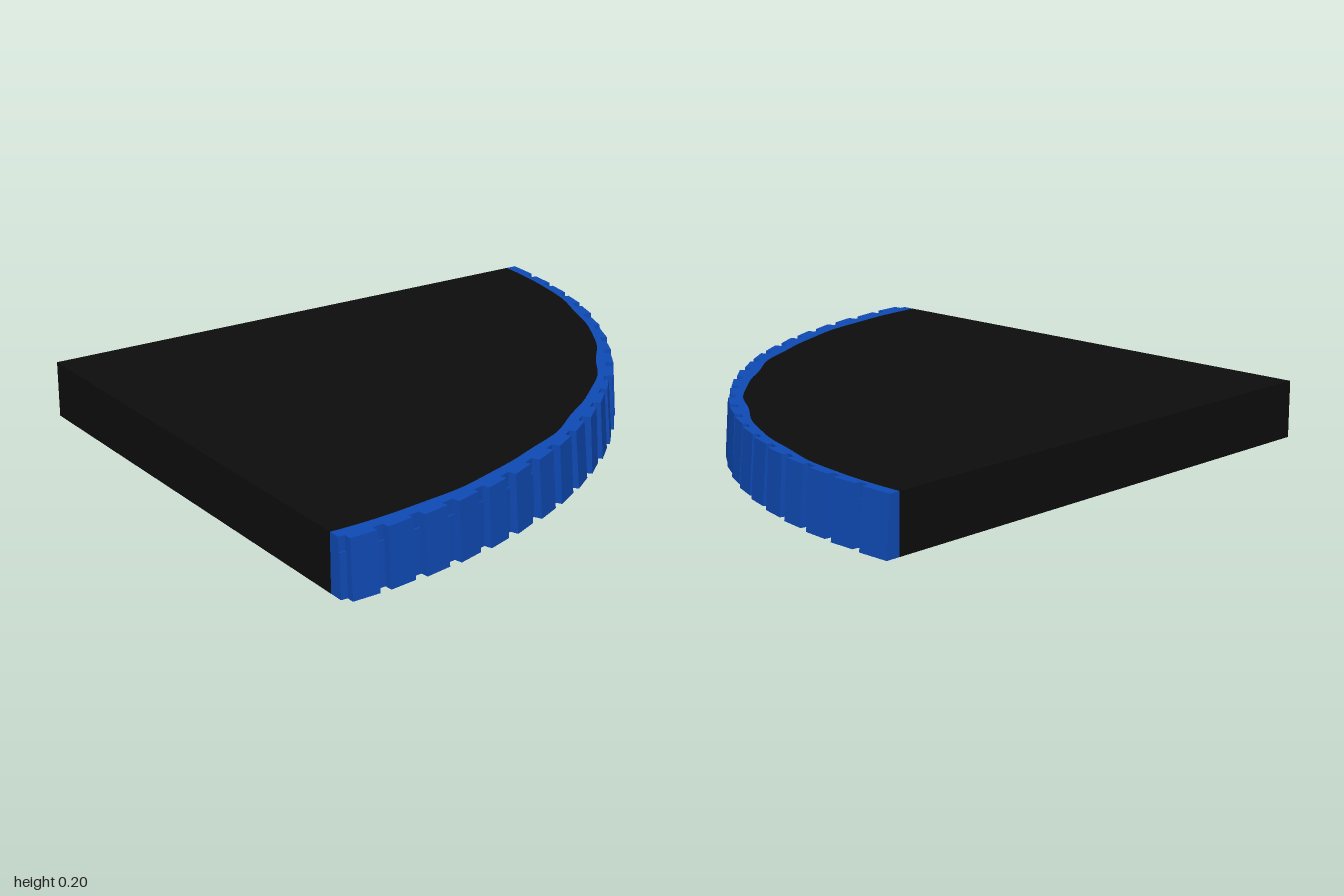
import * as THREE from 'three';
import { mergeGeometries } from 'three/addons/utils/BufferGeometryUtils.js';

const H = 0.2, CX = -1, CZ = -0.945, RX = 2, RZ = 1.885; // height, corner, outer radii
const COUNT = 22, PITCH = Math.PI / 2 / COUNT;

export function createModel() {
  const model = new THREE.Group();
  const black = new THREE.MeshStandardMaterial({ color: 0x0d0d0d });
  black.name = 'black floor';
  const blue = new THREE.MeshStandardMaterial({ color: 0x0f4ab5 });
  blue.name = 'blue stone';

  let seed = 7;
  const rand = () => (seed = (seed * 16807) % 2147483647) / 2147483647;

  // Point on the quarter ellipse, inset from the outer radii; returns [x, z]
  const at = (a, dx, dz) => [CX + (RX - dx) * Math.cos(a), CZ + (RZ - dz) * Math.sin(a)];

  // Slightly uneven line where the floor meets the rim, and the wall behind the blocks
  const arc = (dx, dz, wobble) => Array.from({ length: 89 }, (_, i) => {
    const a = (i / 88) * Math.PI / 2;
    const w = wobble * (Math.sin(a * 23) + 0.6 * Math.sin(a * 41 + 1)) * Math.sin(2 * a);
    const [x, z] = at(a, dx + w, dz + w);
    return new THREE.Vector2(x, -z);
  });
  const inner = arc(0.055, 0.085, 0.005);
  const wall = arc(0.038, 0.04, 0.002);

  const slab = (points, name, material) => {
    const geo = new THREE.ExtrudeGeometry(new THREE.Shape(points), { depth: H, bevelEnabled: false });
    geo.rotateX(-Math.PI / 2);
    const mesh = new THREE.Mesh(geo, material);
    mesh.name = name;
    model.add(mesh);
  };
  slab([new THREE.Vector2(CX, -CZ), ...inner], 'floor', black);
  slab([...wall, ...inner.slice().reverse()], 'rim', blue);

  // Box bent onto the rim: a0..a1 along the arc, standing out to the given insets
  const block = (a0, a1, height, topInset, bottomInset, tilt) => {
    const geo = new THREE.BoxGeometry(1, 1, 1);
    const p = geo.attributes.position;
    for (let i = 0; i < p.count; i++) {
      const a = THREE.MathUtils.lerp(a1, a0, p.getX(i) + 0.5);
      const up = p.getY(i) > 0;
      const d = p.getZ(i) > 0 ? (up ? topInset : bottomInset) + tilt * (p.getX(i) + 0.5) : 0.045;
      const [x, z] = at(a, d, d);
      p.setXYZ(i, x, up ? height : 0, z);
    }
    geo.computeVertexNormals();
    return geo;
  };

  const blocks = [], fillers = [];
  for (let i = 0; i < COUNT; i++) {
    const g0 = i === 0 ? 0 : 0.011 + 0.003 * (rand() - 0.5);
    const g1 = 0.011 + 0.003 * (rand() - 0.5);
    const a0 = i * PITCH + g0, a1 = (i + 1) * PITCH - g1;
    const tilt = i === 0 ? 0 : 0.008 * rand();
    blocks.push(block(a0, a1, H, 0.01 + 0.005 * rand(), 0.001, tilt));
    // Lower filling in the joint after each block
    const end = Math.min((i + 1) * PITCH + 0.013, Math.PI / 2);
    fillers.push(block(a1 - 0.002, end, 0.15, 0.034, 0.03, 0));
  }
  for (const [name, parts] of [['edgeBlocks', blocks], ['jointFillers', fillers]]) {
    const mesh = new THREE.Mesh(mergeGeometries(parts), blue);
    mesh.name = name;
    model.add(mesh);
  }
  return model;
}
